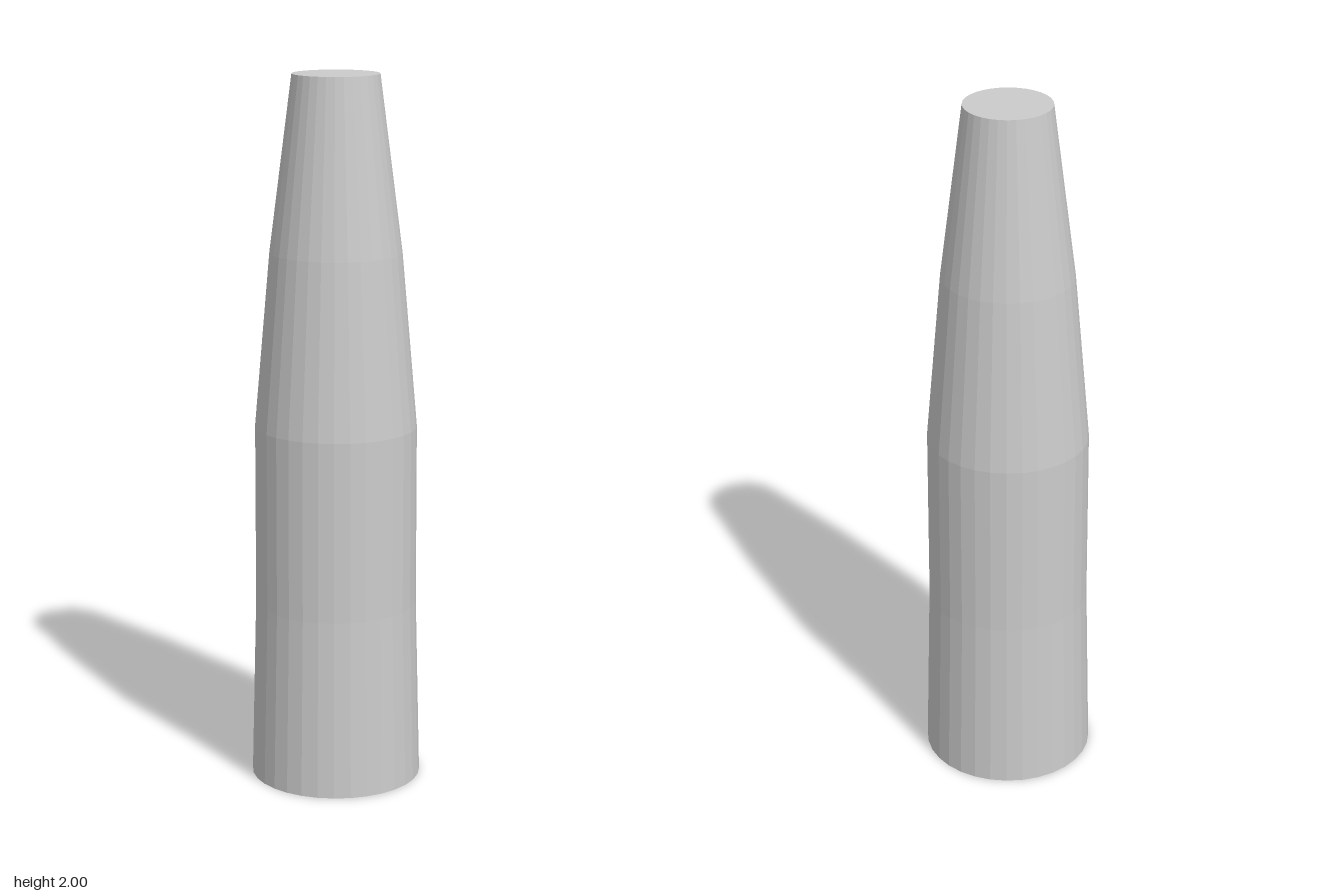
import * as THREE from 'three';

export function createModel() {
  const group = new THREE.Group();
  group.name = 'taperedColumn';
  const material = new THREE.MeshStandardMaterial({ color: 0xcccccc, flatShading: true });

  // Closed profile (radius, height): flat base, flared foot, straight body, two-step taper, flat tip
  const profile = [
    [0, 0], [0.241, 0], [0.228, 0.51], [0.227, 1.02], [0.184, 1.51], [0.121, 2], [0, 2],
  ].map(([r, y]) => new THREE.Vector2(r, y));

  const body = new THREE.Mesh(new THREE.LatheGeometry(profile, 32), material);
  body.name = 'body';
  group.add(body);
  return group;
}
